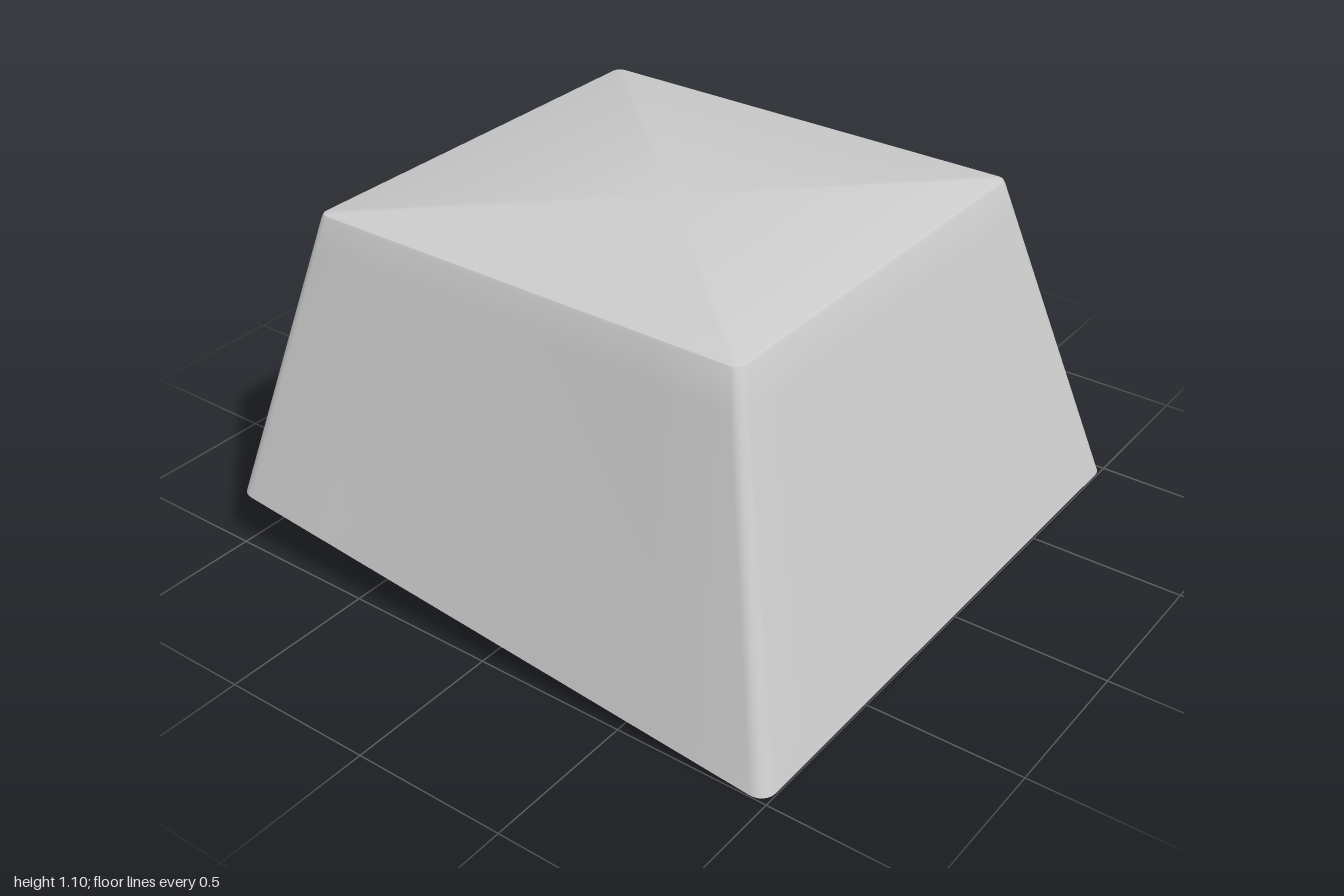
import * as THREE from 'three';
import { toCreasedNormals } from 'three/addons/utils/BufferGeometryUtils.js';

const material = new THREE.MeshStandardMaterial({ color: 0xcccccc });
const TILT = 0.098; // slope of the open underside

// Rounded rectangle ring, with straight sides subdivided; y is a function of z
function ring(hx, front, back, r, yAt) {
  const corners = [[hx - r, front - r], [-hx + r, front - r], [-hx + r, back + r], [hx - r, back + r]];
  const outline = [];
  corners.forEach(([cx, cz], q) => {
    for (let k = 0; k <= 6; k++) {
      const a = (q + k / 6) * Math.PI / 2;
      outline.push([cx + r * Math.cos(a), cz + r * Math.sin(a)]);
    }
  });
  const points = [];
  outline.forEach(([x, z], i) => {
    const [nx, nz] = outline[(i + 1) % outline.length];
    const steps = i % 7 === 6 ? 6 : 1;
    for (let k = 0; k < steps; k++) {
      const px = x + (nx - x) * k / steps, pz = z + (nz - z) * k / steps;
      points.push(new THREE.Vector3(px, yAt(pz), pz));
    }
  });
  return points;
}

// Rings between two rings, both ends included
function blend(a, b, steps) {
  return Array.from({ length: steps + 1 }, (_, s) => a.map((p, i) => p.clone().lerp(b[i], s / steps)));
}

// Skin a sequence of rings
function loft(rings) {
  const n = rings[0].length, index = [];
  for (let i = 0; i < rings.length - 1; i++) {
    for (let j = 0; j < n; j++) {
      const a = i * n + j, b = i * n + (j + 1) % n, c = a + n, d = b + n;
      index.push(a, c, b, b, c, d);
    }
  }
  const geometry = new THREE.BufferGeometry().setFromPoints(rings.flat());
  geometry.setIndex(index);
  return toCreasedNormals(geometry.toNonIndexed(), 0.45);
}

function addMesh(parent, name, geometry) {
  const mesh = new THREE.Mesh(geometry, material);
  mesh.name = name;
  parent.add(mesh);
  return mesh;
}

export function createModel() {
  const group = new THREE.Group();
  group.name = 'keycap';

  // Hollow tapered shell: ceiling, inner walls, rim, outer walls, bevel, top
  const baseY = z => TILT * (0.995 - z);
  const flat = y => () => y;
  const ceiling = ring(0.665, 0.645, -0.763, 0.02, flat(0.98));
  const innerBase = ring(0.92, 0.915, -0.915, 0.02, baseY);
  const outerBase = ring(1, 0.995, -0.995, 0.05, baseY);
  const outerTop = ring(0.717, 0.695, -0.827, 0.035, flat(1.08));
  const bevel = ring(0.711, 0.689, -0.821, 0.03, flat(1.091));
  const top = ring(0.7, 0.678, -0.81, 0.022, flat(1.096));
  const centre = y => top.map(() => new THREE.Vector3(0, y, -0.06));
  addMesh(group, 'shell', loft([
    centre(0.98), ...blend(ceiling, innerBase, 8),
    ...blend(outerBase, outerTop, 10), bevel, top, centre(1.096),
  ]));

  // Stem, square to the sloped underside, with a cross-shaped socket
  const stem = new THREE.Group();
  stem.name = 'stem';
  stem.position.set(0, 0.28, 0.055);
  stem.rotation.x = Math.atan(TILT);
  group.add(stem);
  const shape = new THREE.Shape().absarc(0, 0, 0.33, 0, Math.PI * 2);
  const L = 0.235, w = 0.073;
  const cross = [[L, -w], [L, w], [w, w], [w, L], [-w, L], [-w, w], [-L, w], [-L, -w], [-w, -w], [-w, -L], [w, -L], [w, -w]];
  shape.holes.push(new THREE.Path(cross.map(([x, y]) => new THREE.Vector2(x, y)).reverse()));
  const tube = new THREE.ExtrudeGeometry(shape, { depth: 0.73, bevelEnabled: false, curveSegments: 16 });
  tube.rotateX(-Math.PI / 2);
  addMesh(stem, 'stemTube', toCreasedNormals(tube, 0.6));
  const floor = new THREE.CircleGeometry(0.27, 16).rotateX(Math.PI / 2);
  addMesh(stem, 'socketFloor', floor).position.y = 0.45;

  // Thin ribs from the stem to the walls, under the ceiling
  const ribs = [[1, 0, 0.72], [-1, 0, 0.72], [0, 1, 0.7], [0, -1, 0.8]];
  for (const [dx, dz, end] of ribs) {
    const start = 0.25, length = end - start, mid = (start + end) / 2;
    const rib = addMesh(group, 'rib', new THREE.BoxGeometry(dx ? length : 0.03, 0.23, dz ? length : 0.03));
    rib.position.set(dx * mid, 0.875, dx ? 0.07 : dz * mid);
  }
  return group;
}
